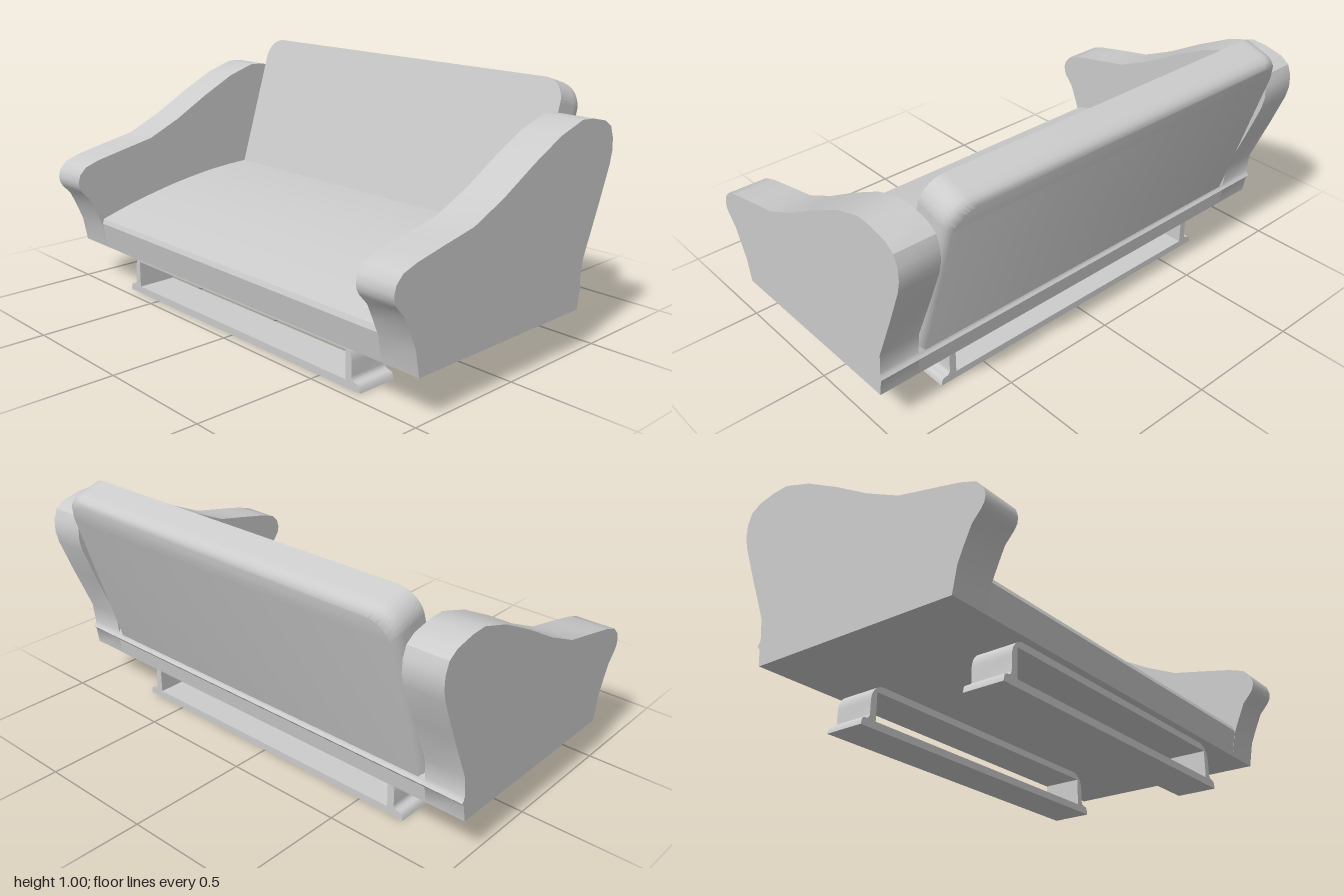
import * as THREE from 'three';
import { toCreasedNormals } from 'three/addons/utils/BufferGeometryUtils.js';

const material = new THREE.MeshStandardMaterial({ color: 0xcccccc });
const INNER = 0.835; // half width between the arms

function addMesh(group, name, geometry, crease = 0.6) {
  const mesh = new THREE.Mesh(toCreasedNormals(geometry, crease), material);
  mesh.name = name;
  group.add(mesh);
}

// Extrudes a side profile of [z, y] points from x0 to x1
function sideExtrusion(points, x0, x1) {
  const shape = new THREE.Shape(points.map(([z, y]) => new THREE.Vector2(z, y)));
  const geometry = new THREE.ExtrudeGeometry(shape, { depth: x1 - x0, bevelEnabled: false });
  return geometry.rotateY(-Math.PI / 2).translate(x1, 0, 0);
}

// Shared rear edge of the base, with its small ridge
const rearEdge = [[-0.393, 0.275], [-0.398, 0.262], [-0.406, 0.252], [-0.394, 0.238], [-0.385, 0.17]];

function armProfile() {
  return [
    [0.49, 0.17], [0.508, 0.27], [0.535, 0.335], [0.562, 0.395], [0.598, 0.435], [0.61, 0.455],
    [0.614, 0.48], [0.605, 0.512], [0.575, 0.543], [0.51, 0.565], [0.38, 0.593], [0.24, 0.622],
    [0.09, 0.69], [-0.07, 0.78], [-0.22, 0.855], [-0.345, 0.894], [-0.41, 0.89], [-0.49, 0.872],
    [-0.53, 0.845], [-0.547, 0.8], [-0.549, 0.75], [-0.538, 0.7], [-0.48, 0.55], [-0.402, 0.36],
    ...rearEdge,
  ];
}

// Base with crowned seat and a narrow front lip
function seatProfile() {
  const crown = new THREE.SplineCurve([
    [0.5, 0.3], [0.35, 0.343], [0.15, 0.388], [-0.05, 0.419], [-0.2, 0.432], [-0.3, 0.436],
  ].map(([z, y]) => new THREE.Vector2(z, y)));
  return [[0.49, 0.17], [0.508, 0.28], ...crown.getPoints(16).map((p) => [p.x, p.y]), ...rearEdge];
}

// Leaning slab with round top corners and a softened rear rim
function backrestGeometry() {
  const height = 0.7385, r = 0.09, depth = 0.15;
  const lean = Math.atan(0.312);
  const shape = new THREE.Shape();
  shape.moveTo(-INNER, 0);
  shape.lineTo(INNER, 0);
  shape.lineTo(INNER, height - r);
  shape.absarc(INNER - r, height - r, r, 0, Math.PI / 2);
  shape.absarc(-INNER + r, height - r, r, Math.PI / 2, Math.PI);
  shape.closePath();
  const steps = 10;
  const geometry = new THREE.ExtrudeGeometry(shape, { depth, steps, bevelEnabled: false, curveSegments: 10 });
  const pos = geometry.attributes.position;
  for (let i = 0; i < pos.count; i++) {
    const z = pos.getZ(i) - depth; // 0 is the front face
    const t = Math.max(0, (-z / depth - 0.6) / 0.4);
    const inset = 0.028 * (1 - Math.sqrt(Math.max(0, 1 - t * t)));
    pos.setXYZ(i, pos.getX(i) * (1 - inset / INNER), pos.getY(i) * (1 - inset / height), z);
  }
  return geometry.rotateX(-lean).translate(0, 0.3, -0.248);
}

// Runner frame: flat foot plate, two uprights and a round-cornered top bar
function runnerGeometry(z0, z1) {
  const shape = new THREE.Shape();
  shape.moveTo(-0.705, 0);
  shape.lineTo(0.705, 0);
  shape.lineTo(0.7, 0.022);
  shape.quadraticCurveTo(0.697, 0.03, 0.685, 0.031);
  shape.quadraticCurveTo(0.665, 0.032, 0.663, 0.05);
  shape.lineTo(0.663, 0.105);
  shape.quadraticCurveTo(0.658, 0.165, 0.6, 0.171);
  shape.lineTo(-0.6, 0.171);
  shape.quadraticCurveTo(-0.658, 0.165, -0.663, 0.105);
  shape.lineTo(-0.663, 0.05);
  shape.quadraticCurveTo(-0.665, 0.032, -0.685, 0.031);
  shape.quadraticCurveTo(-0.697, 0.03, -0.7, 0.022);
  shape.closePath();
  const hole = new THREE.Path();
  hole.moveTo(-0.633, 0.03);
  hole.lineTo(-0.633, 0.143);
  hole.lineTo(0.633, 0.143);
  hole.lineTo(0.633, 0.03);
  hole.closePath();
  shape.holes.push(hole);
  return new THREE.ExtrudeGeometry(shape, { depth: z1 - z0, bevelEnabled: false, curveSegments: 8 }).translate(0, 0, z0);
}

export function createModel() {
  const group = new THREE.Group();
  group.name = 'sofa';
  addMesh(group, 'leftArm', sideExtrusion(armProfile(), INNER, 1));
  addMesh(group, 'rightArm', sideExtrusion(armProfile(), -1, -INNER));
  addMesh(group, 'seat', sideExtrusion(seatProfile(), -INNER, INNER), 0.3);
  addMesh(group, 'backrest', backrestGeometry(), 0.7);
  addMesh(group, 'frontRunner', runnerGeometry(0.29, 0.458));
  addMesh(group, 'rearRunner', runnerGeometry(-0.34, -0.173));
  return group;
}
